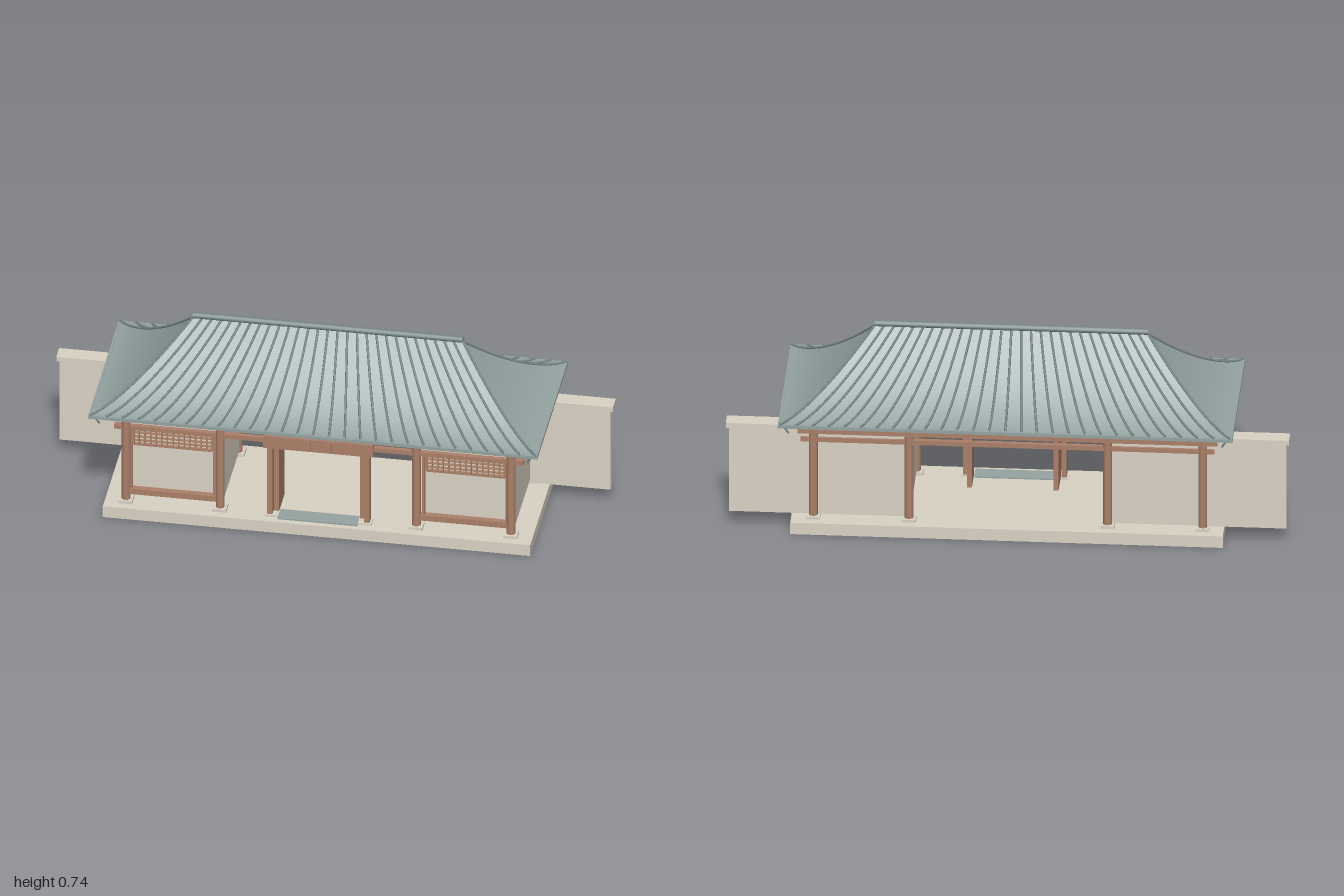
import * as THREE from 'three';

const mat = (name, color, side = THREE.FrontSide) => {
  const m = new THREE.MeshStandardMaterial({ color, side });
  m.name = name;
  return m;
};

export function createModel() {
  const root = new THREE.Group();
  root.name = 'gatehouse';
  const stone = mat('stone', 0xdad3c5);
  const wood = mat('wood', 0xab8069);
  const darkWood = mat('dark wood', 0x6b5040);
  const tile = mat('roof tile', 0x95a4a2, THREE.DoubleSide);
  const rib = mat('tile rib', 0x798a89);

  const add = (name, geo, m, x = 0, y = 0, z = 0, parent = root) => {
    const mesh = new THREE.Mesh(geo, m);
    mesh.name = name;
    mesh.position.set(x, y, z);
    parent.add(mesh);
    return mesh;
  };
  // box given by its limits on each axis
  const box = (name, m, x0, x1, y0, y1, z0, z1, parent = root) =>
    add(name, new THREE.BoxGeometry(Math.abs(x1 - x0), y1 - y0, Math.abs(z1 - z0)), m,
      (x0 + x1) / 2, (y0 + y1) / 2, (z0 + z1) / 2, parent);

  box('platform', stone, -0.768, 0.768, 0, 0.045, -0.242, 0.242);

  // columns with bases and stepped brackets
  for (const z of [-0.188, 0.188]) {
    for (const x of [-0.693, -0.355, 0.35, 0.69]) {
      const g = new THREE.Group();
      g.name = 'column';
      g.position.set(x, 0, z);
      root.add(g);
      box('columnBase', stone, -0.025, 0.025, 0.045, 0.056, -0.024, 0.024, g);
      add('shaft', new THREE.CylinderGeometry(0.016, 0.016, 0.354, 16), wood, 0, 0.233, 0, g);
      box('bracketBlock', wood, -0.018, 0.018, 0.408, 0.42, -0.017, 0.017, g);
      box('bracketArm', wood, -0.03, 0.03, 0.418, 0.43, -0.012, 0.012, g);
      box('crossArm', wood, -0.012, 0.012, 0.418, 0.43, -0.018, 0.018, g);
      box('bracketTop', wood, -0.04, 0.04, 0.43, 0.44, -0.017, 0.017, g);
      box('bracketCap', wood, -0.04, 0.04, 0.44, 0.447, -0.01, 0.01, g);
    }
    box('upperBeam', wood, -0.745, 0.745, 0.38, 0.407, z - 0.014, z + 0.014);
    box('lowerBeam', wood, -0.735, 0.735, 0.346, 0.363, z - 0.009, z + 0.009);
  }

  // side rooms, lattice windows and wing walls
  for (const s of [-1, 1]) {
    const a = 0.355, b = 0.695;
    box('roomFrontWall', stone, s * a, s * b, 0.07, 0.358, 0.165, 0.174);
    box('roomBackWall', stone, s * a, s * b, 0.058, 0.375, -0.188, -0.15);
    box('roomOuterWall', stone, s * 0.685, s * 0.7, 0.07, 0.358, -0.16, 0.174);
    box('roomInnerWall', stone, s * 0.347, s * 0.362, 0.07, 0.358, -0.16, 0.174);
    box('wingWall', stone, s * 0.7, s * 0.99, 0.058, 0.391, -0.189, -0.15);
    box('wingCap', stone, s * 0.7, s, 0.391, 0.41, -0.198, -0.138);

    box('bottomRail', wood, s * a, s * b, 0.078, 0.1, 0.174, 0.197);
    for (const x of [0.375, 0.675])
      box('bayJamb', wood, s * (x - 0.005), s * (x + 0.005), 0.1, 0.346, 0.174, 0.189);

    const x0 = 0.385, x1 = 0.667, y0 = 0.28, y1 = 0.343;
    for (let i = 0; i <= 14; i++) {
      const x = x0 + (x1 - x0) * i / 14, w = i % 14 ? 0.002 : 0.004;
      box('latticeUpright', wood, s * (x - w), s * (x + w), y0, y1, 0.173, 0.184);
    }
    for (let i = 0; i <= 4; i++) {
      const y = y0 + (y1 - y0) * i / 4, w = i % 4 ? 0.002 : 0.004;
      box('latticeBar', wood, s * x0, s * x1, y - w, y + w, 0.173, 0.1835);
    }

    // gate post and opened door leaf with ring handle
    box('gatePost', wood, s * 0.165, s * 0.184, 0.05, 0.335, 0.17, 0.203);
    box('doorLeaf', wood, s * 0.145, s * 0.163, 0.052, 0.34, 0.066, 0.178);
    const ring = add('doorHandle', new THREE.TorusGeometry(0.008, 0.002, 6, 14), darkWood,
      s * 0.143, 0.215, 0.1);
    ring.rotation.y = Math.PI / 2;
    box('gateFoot', stone, s * 0.143, s * 0.192, 0.045, 0.052, 0.165, 0.21);
  }

  // gate lintel with pegs, and threshold
  box('gateLintel', wood, -0.197, 0.197, 0.33, 0.379, 0.17, 0.209);
  for (const x of [-0.11, -0.037, 0.037, 0.11])
    box('lintelPeg', wood, x - 0.011, x + 0.011, 0.335, 0.374, 0.209, 0.213);
  box('threshold', tile, -0.143, 0.143, 0.045, 0.05, 0.16, 0.222);

  // roof: a curved hipped shell
  const ridgeHalf = 0.485, eaveX = 0.807, eaveZ = 0.322;
  const height = t => 0.467 + 0.247 * Math.pow(Math.max(0, 1 - t / 0.97), 1.5);
  const slope = (name, topHalf, bottomHalf, run0, run1, turn) => {
    const geo = new THREE.PlaneGeometry(2, 1, 12, 20);
    const p = geo.attributes.position;
    for (let i = 0; i < p.count; i++) {
      const u = p.getX(i), t = 0.5 - p.getY(i);
      p.setXYZ(i, u * (topHalf + (bottomHalf - topHalf) * t), height(t), run0 + (run1 - run0) * t);
    }
    geo.computeVertexNormals();
    add(name, geo, tile).rotation.y = turn;
  };
  slope('frontSlope', ridgeHalf, eaveX, 0, eaveZ, 0);
  slope('backSlope', ridgeHalf, eaveX, 0, eaveZ, Math.PI);
  slope('leftHip', 0, eaveZ, ridgeHalf, eaveX, Math.PI / 2);
  slope('rightHip', 0, eaveZ, ridgeHalf, eaveX, -Math.PI / 2);

  // tile ribs fanning from ridge to eaves; the outermost follow the hips
  const ribs = 28;
  for (const s of [-1, 1]) {
    for (let i = 0; i <= ribs; i++) {
      const u = 2 * i / ribs - 1;
      const pts = [];
      for (let k = 0; k <= 20; k++) {
        const t = k / 20;
        pts.push(new THREE.Vector3(u * (ridgeHalf + (eaveX - 0.004 - ridgeHalf) * t),
          height(t) + 0.004, s * (eaveZ - 0.001) * t));
      }
      add('tileRib', new THREE.TubeGeometry(new THREE.CatmullRomCurve3(pts), 24, 0.0042, 6), rib);
    }
    box('longFascia', tile, -eaveX, eaveX, 0.457, 0.469, s * (eaveZ - 0.008), s * eaveZ);
    box('endFascia', tile, s * (eaveX - 0.008), s * eaveX, 0.457, 0.469, -eaveZ, eaveZ);

    // hanging corner rods
    for (const e of [-1, 1]) {
      const rod = new THREE.LineCurve3(new THREE.Vector3(s * 0.785, 0.458, e * 0.311),
        new THREE.Vector3(s * 0.769, 0.431, e * 0.303));
      add('cornerRod', new THREE.TubeGeometry(rod, 1, 0.0035, 8), rib);
    }
  }
  const ridge = add('ridgeCap', new THREE.CylinderGeometry(0.011, 0.011, 0.97, 14), rib, 0, 0.725, 0);
  ridge.rotation.z = Math.PI / 2;

  return root;
}
